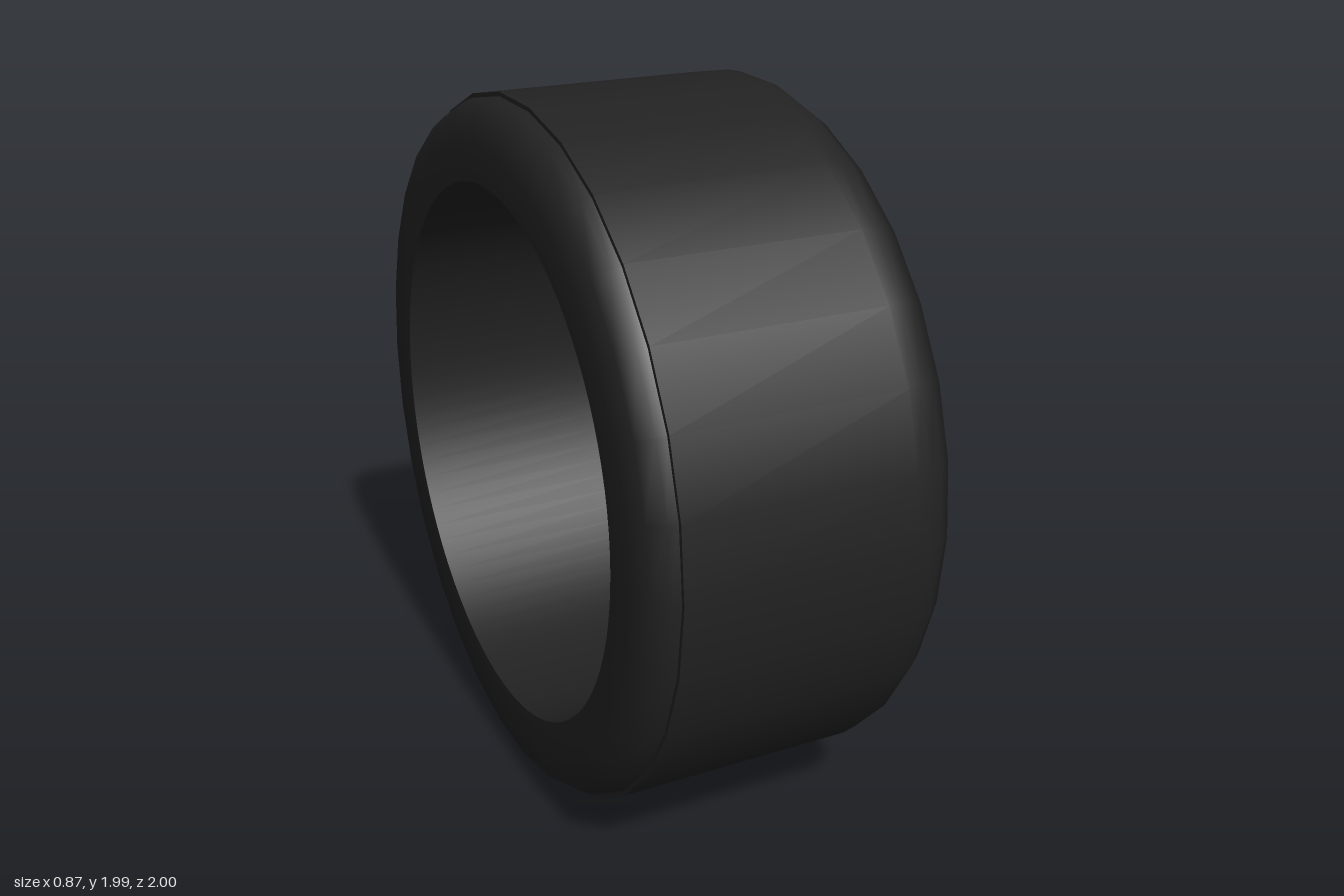
import * as THREE from 'three';

export function createModel() {
  const group = new THREE.Group();
  group.name = 'tyre';
  const rubber = new THREE.MeshStandardMaterial({ color: 0x222222 });

  // Turns a list of [x, radius] points about the x axis; vertices fall on +z and -z.
  function band(name, profile, segments) {
    const points = profile.map(([x, r]) => new THREE.Vector2(r, x));
    const geometry = new THREE.LatheGeometry(points, segments).rotateZ(-Math.PI / 2);
    const mesh = new THREE.Mesh(geometry, rubber);
    mesh.name = name;
    mesh.position.y = 1;
    group.add(mesh);
  }

  // Outer skin: 30 sides, smooth around, with a small step at the right shoulder
  const outer = 30;
  band('rightSidewall', [[-0.433, 0.775], [-0.433, 0.87], [-0.418, 0.95], [-0.375, 0.982], [-0.35, 0.988]], outer);
  band('treadStep', [[-0.35, 0.984], [-0.35, 1]], outer);
  band('tread', [[-0.35, 1], [0.3, 1], [0.335, 1], [0.375, 0.992], [0.415, 0.962], [0.433, 0.87], [0.433, 0.782]], outer);

  // Bore: finely rounded, stepping inward from the left opening
  const inner = 90;
  band('leftRim', [[0.432, 0.8], [0.432, 0.777]], inner);
  band('leftLip', [[0.432, 0.777], [0.36, 0.777]], inner);
  band('lipStep', [[0.36, 0.777], [0.36, 0.773]], inner);
  band('beadRidge', [[0.36, 0.773], [0.34, 0.773]], inner);
  band('ridgeStep', [[0.34, 0.773], [0.34, 0.769]], inner);
  band('beadSeat', [[0.34, 0.769], [0.19, 0.769]], inner);
  band('seatStep', [[0.19, 0.769], [0.19, 0.765]], inner);
  band('bore', [[0.19, 0.765], [-0.432, 0.765]], inner);
  band('rightRim', [[-0.432, 0.765], [-0.432, 0.8]], inner);

  return group;
}
